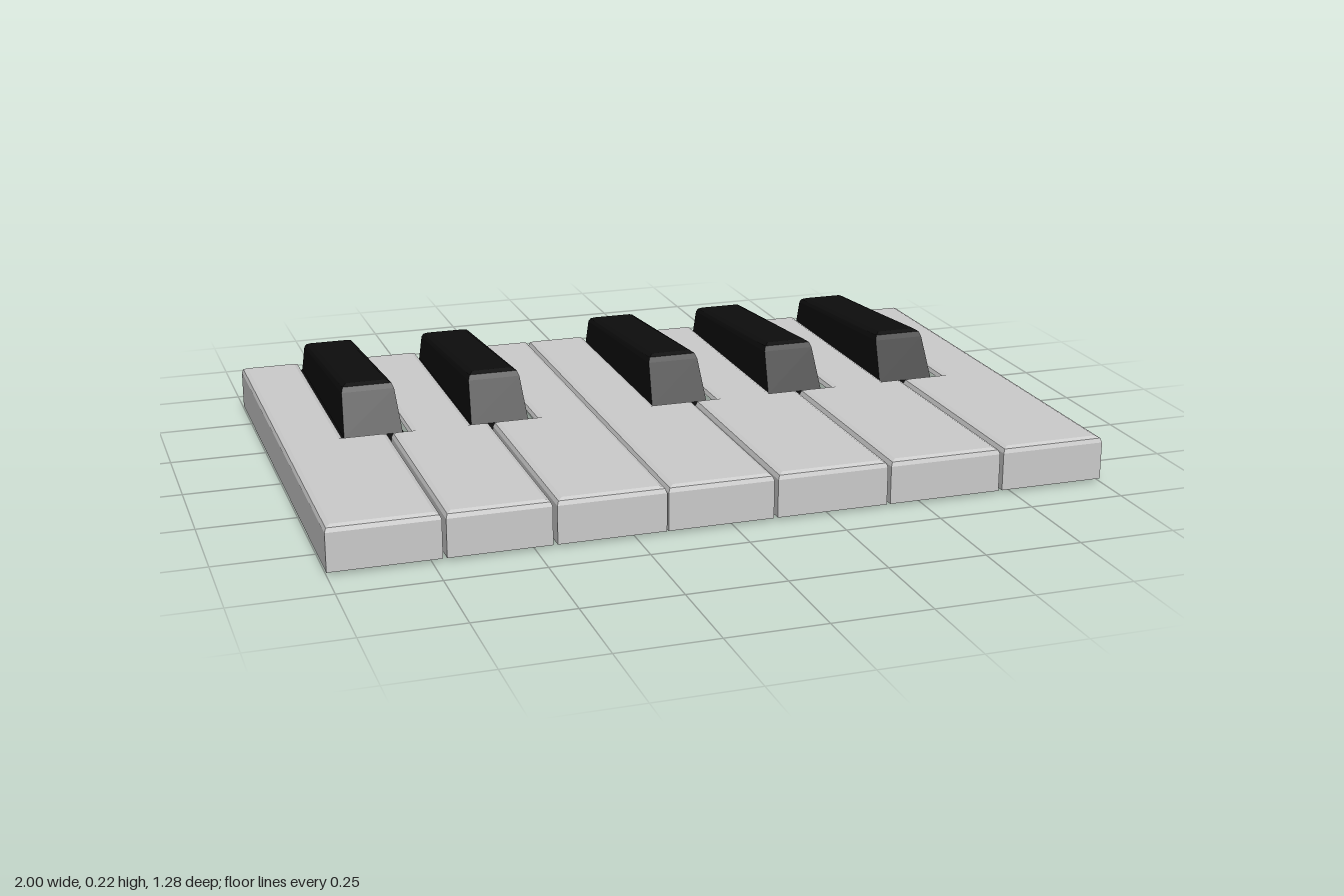
import * as THREE from 'three';

const BACK = -0.64, FRONT = 0.64, NOTCH = 0.03;

function meshFrom(positions, material, name) {
  const g = new THREE.BufferGeometry();
  g.setAttribute('position', new THREE.Float32BufferAttribute(positions, 3));
  g.computeVertexNormals();
  const mesh = new THREE.Mesh(g, material);
  mesh.name = name;
  return mesh;
}

// Joins two rings of points with quads; keep(i) says which sides to build
function bridge(out, low, high, keep = () => true) {
  low.forEach((a, i) => {
    if (!keep(i)) return;
    const j = (i + 1) % low.length;
    out.push(...a, ...low[j], ...high[j], ...a, ...high[j], ...high[i]);
  });
}

// Moves a right-angled, counter-clockwise outline inwards
function inset(outline, d) {
  const n = outline.length;
  return outline.map((p, i) => {
    const dirIn = p.clone().sub(outline[(i + n - 1) % n]).normalize();
    const dirOut = outline[(i + 1) % n].clone().sub(p).normalize();
    return new THREE.Vector2(p.x - d * (dirIn.y + dirOut.y), p.y + d * (dirIn.x + dirOut.x));
  });
}

// White key: hollow shell, open below, with cut-outs beside the black keys
function whiteKey(x0, x1, n0, n1, material, name) {
  const pts = [[x0, -FRONT], [x1, -FRONT]];
  if (n1 !== x1) pts.push([x1, -NOTCH], [n1, -NOTCH]);
  pts.push([n1, -BACK], [n0, -BACK]);
  if (n0 !== x0) pts.push([n0, -NOTCH], [x0, -NOTCH]);
  const outline = pts.map(([x, v]) => new THREE.Vector2(x, v));
  const ring = (y, d) => inset(outline, d).map(p => [p.x, y, -p.y]);

  // Full-height walls only on the outer sides, not inside the cut-outs
  const isWall = i => {
    const a = pts[i], b = pts[(i + 1) % pts.length];
    return (a[0] === b[0] && (a[0] === x0 || a[0] === x1)) ||
      (a[1] === b[1] && Math.abs(a[1]) === FRONT);
  };
  const out = [];
  const rings = [ring(0.008, 0), ring(0.106, 0), ring(0.117, 0.004), ring(0.122, 0.015)];
  bridge(out, rings[0], rings[1], isWall);
  bridge(out, rings[1], rings[2]);
  bridge(out, rings[2], rings[3]);
  const top = rings[3];
  for (const tri of THREE.ShapeUtils.triangulateShape(inset(outline, 0.015), []))
    for (const k of tri) out.push(...top[k]);
  return meshFrom(out, material, name);
}

// Black key: straight base, then a tapering cap that slopes down to the back
function blackKey(x, material, name) {
  // half width, front z, front y, back z, back y
  const rows = [
    [0.083, 0.025, 0, BACK, 0],
    [0.083, 0.025, 0.095, BACK, 0.095],
    [0.077, -0.015, 0.1, BACK, 0.1],
    [0.069, -0.068, 0.205, -0.636, 0.165],
    [0.064, -0.076, 0.218, -0.632, 0.174],
    [0.053, -0.09, 0.224, -0.622, 0.179],
  ];
  const rings = rows.map(([w, zf, yf, zb, yb]) =>
    [[-w, yf, zf], [w, yf, zf], [w, yb, zb], [-w, yb, zb]]);
  const out = [];
  for (let i = 0; i < rings.length - 1; i++) bridge(out, rings[i], rings[i + 1]);
  const cap = (a, b, c, d) => out.push(...a, ...b, ...c, ...a, ...c, ...d);
  cap(...rings[rings.length - 1]);
  cap(...rings[0].slice().reverse());
  const mesh = meshFrom(out, material, name);
  mesh.position.x = x;
  return mesh;
}

export function createModel() {
  const group = new THREE.Group();
  group.name = 'keyboardOctave';
  const white = new THREE.MeshStandardMaterial({ color: 0xcccccc, side: THREE.DoubleSide });
  const black = new THREE.MeshStandardMaterial({ color: 0x0d0d0d });

  // Black key centres
  const centres = [-0.753, -0.416, 0.083, 0.417, 0.748];
  // Left and right side of each white key, and the black key on either side (-1 for none)
  const whites = [
    [-1, -0.725, -1, 0], [-0.715, -0.457, 0, 1], [-0.446, -0.172, 1, -1],
    [-0.168, 0.104, -1, 2], [0.114, 0.405, 2, 3], [0.414, 0.712, 3, 4], [0.722, 1, 4, -1],
  ];
  const gap = 0.087;
  whites.forEach(([x0, x1, l, r], i) => {
    const n0 = l < 0 ? x0 : centres[l] + gap;
    const n1 = r < 0 ? x1 : centres[r] - gap;
    group.add(whiteKey(x0, x1, n0, n1, white, `whiteKey${i + 1}`));
  });
  centres.forEach((x, i) => group.add(blackKey(x, black, `blackKey${i + 1}`)));
  return group;
}
